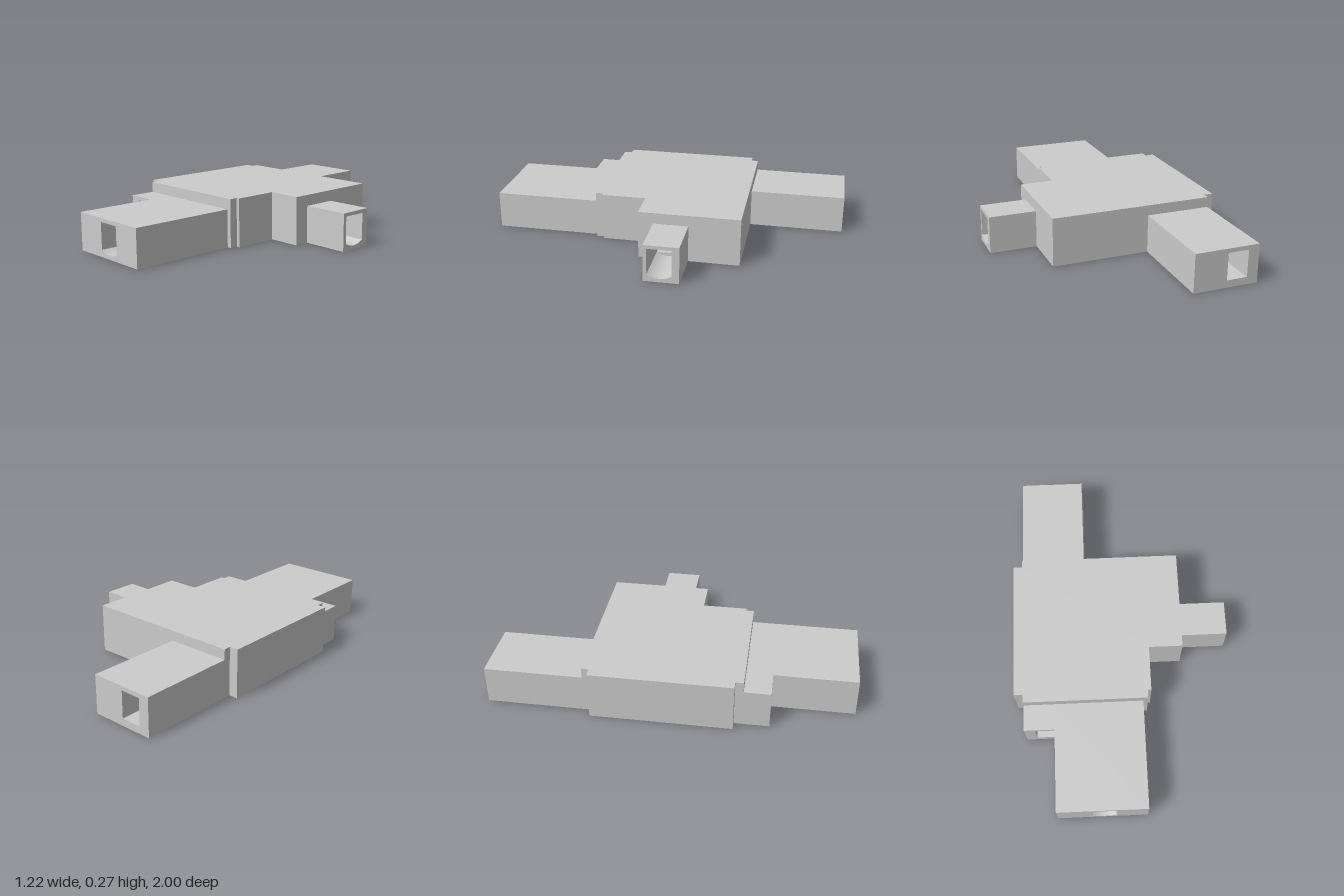
import * as THREE from 'three';

const material = new THREE.MeshStandardMaterial({ color: 0xcccccc, flatShading: true, side: THREE.DoubleSide });
const ROOM_H = 0.272;
const WALL = 0.03;

// plan of the hall as [x, z] corners
const outline = [
  [-0.56, -0.46], [0.345, -0.46], [0.345, 0.105], [0.155, 0.105], [0.155, 0.355], [0.135, 0.355],
  [0.135, 0.40], [-0.56, 0.40], [-0.56, 0.355], [-0.61, 0.355], [-0.61, -0.42], [-0.56, -0.42],
];

// doorways by outline edge: [start, end, rounded sill], measured along the edge
const doorways = {
  0: [[0.06, 0.175, false]],
  1: [[0.325, 0.46, true]],
  6: [[0.2, 0.335, true], [0.526, 0.635, false]],
};

export function createModel() {
  const model = new THREE.Group();
  model.name = 'hallWithPassages';

  const add = (name, geometry, x = 0, y = 0, z = 0, parent = model) => {
    const mesh = new THREE.Mesh(geometry, material);
    mesh.name = name;
    mesh.position.set(x, y, z);
    parent.add(mesh);
    return mesh;
  };

  // upright block standing on the line a-b, pierced by doorways
  const pierced = (name, a, b, height, depth, doors = []) => {
    const dx = b[0] - a[0], dz = b[1] - a[1], w = Math.hypot(dx, dz);
    const shape = new THREE.Shape();
    shape.moveTo(0, 0).lineTo(w, 0).lineTo(w, height).lineTo(0, height).closePath();
    for (const [s, e, rounded] of doors) {
      const hole = new THREE.Path();
      hole.moveTo(s, 0.19).lineTo(s, 0.04);
      if (rounded) hole.quadraticCurveTo((s + e) / 2, 0.0, e, 0.04);
      else hole.lineTo(e, 0.04);
      hole.lineTo(e, 0.19).closePath();
      shape.holes.push(hole);
    }
    const geometry = new THREE.ExtrudeGeometry(shape, { depth, bevelEnabled: false, curveSegments: 8 });
    add(name, geometry, a[0], 0, a[1]).rotation.y = -Math.atan2(dz, dx);
  };

  // hall walls, one per edge of the plan
  outline.forEach((a, i) => {
    pierced('hallWall', a, outline[(i + 1) % outline.length], ROOM_H, WALL, doorways[i]);
  });

  // floor and roof slabs
  const slab = (name, top, depth) => {
    const shape = new THREE.Shape(outline.map(([x, z]) => new THREE.Vector2(x, z)));
    const geometry = new THREE.ExtrudeGeometry(shape, { depth, bevelEnabled: false });
    add(name, geometry.rotateX(Math.PI / 2), 0, top, 0);
  };
  slab('floor', 0.04, 0.04);
  slab('roof', ROOM_H, WALL);

  // passages leading out of the hall
  pierced('frontPassage', [-0.39, 0.40], [0.11, 0.40], 0.212, 0.60, [[0.19, 0.325, true]]);
  pierced('sidePorch', [-0.56, 0.40], [-0.388, 0.40], 0.212, 0.145, [[0.06, 0.169, false]]);
  pierced('backPassage', [-0.56, -1], [-0.2, -1], 0.214, 0.54, [[0.06, 0.175, false]]);
  pierced('leftPassage', [0.345, 0.02], [0.345, -0.175], 0.21, 0.265, [[0.02, 0.155, true]]);

  // raised step and rock spikes along the back of the hall
  add('step', new THREE.BoxGeometry(0.4, 0.015, 0.14), -0.05, 0.0475, -0.36);
  [[-0.18, 0.11], [-0.155, 0.08], [-0.14, 0.06], [-0.075, 0.13]].forEach(([x, h], i) => {
    add('rockSpike', new THREE.ConeGeometry(0.014, h, 6), x, 0.05 + h / 2, -0.36 - 0.02 * (i % 2));
  });

  // lantern hanging from a bracket
  const lantern = new THREE.Group();
  lantern.name = 'lantern';
  lantern.position.set(-0.46, 0, -0.055);
  model.add(lantern);
  add('bracket', new THREE.BoxGeometry(0.12, 0.005, 0.005), -0.06, 0.19, 0, lantern);
  add('brace', new THREE.BoxGeometry(0.13, 0.004, 0.004), -0.06, 0.165, 0, lantern).rotation.z = 0.4;
  add('chain', new THREE.CylinderGeometry(0.0015, 0.0015, 0.02, 6), 0, 0.18, 0, lantern);
  add('lamp', new THREE.CylinderGeometry(0.003, 0.005, 0.018, 6), 0, 0.163, 0, lantern);

  return model;
}
